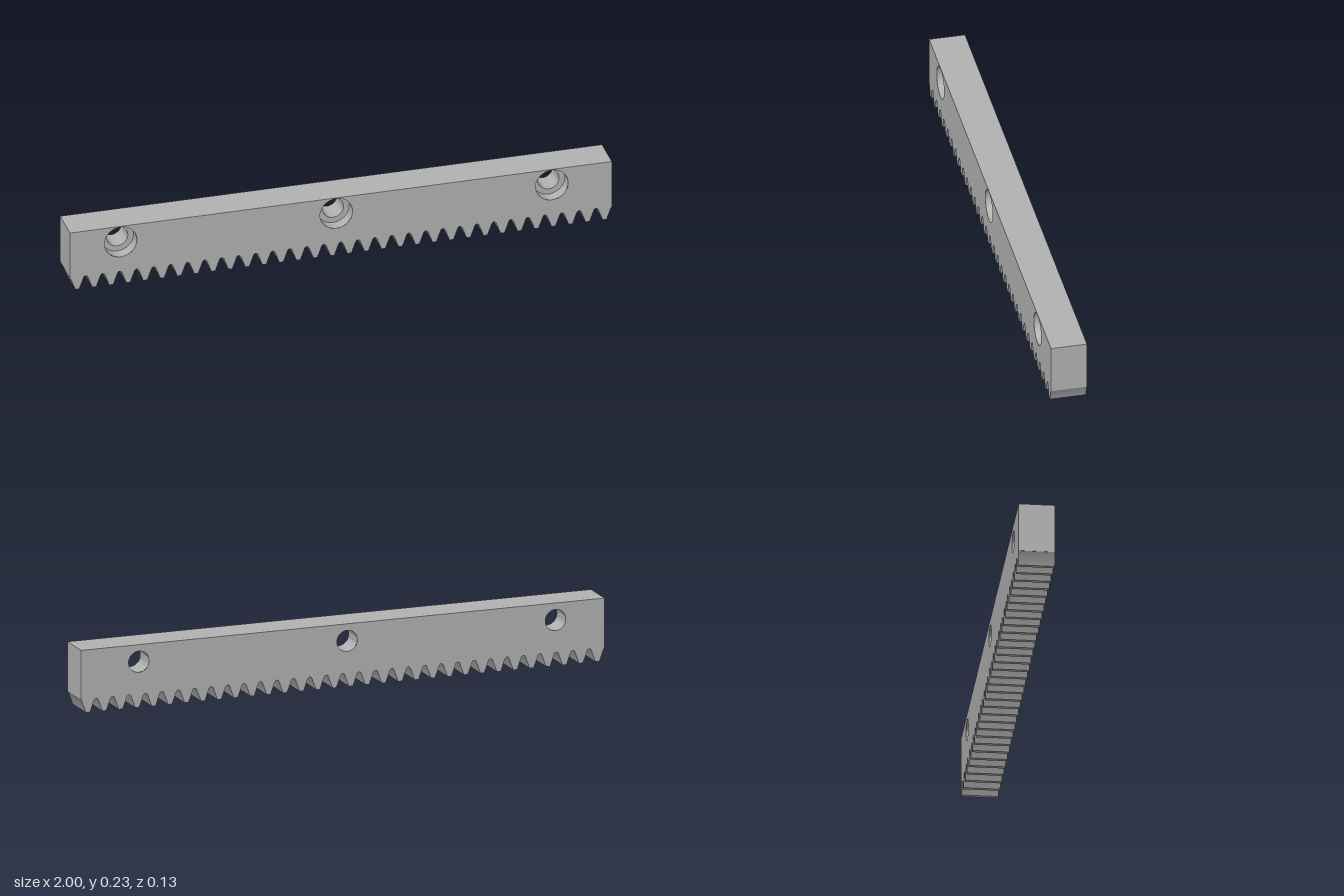
import * as THREE from 'three';
import { toCreasedNormals } from 'three/addons/utils/BufferGeometryUtils.js';

const TOP = 0.231, HALF_DEPTH = 0.0655;
const PITCH = 0.0628, TEETH = 32;
const HOLES_X = [-0.813, -0.017, 0.779], HOLE_Y = 0.168;
const BORE_R = 0.06, HOLE_R = 0.039, BORE_DEPTH = 0.045;
const SEGMENTS = 32;

// Counter-clockwise bar outline: rounded gullets along the bottom, flat top
function rackOutline() {
  const END_Y = 0.0475, ROOT_R = 0.0085, ROOT_Y = 0.041, FOOT = 0.024;
  const pts = [new THREE.Vector2(-1, END_Y)];
  const add = (x, y) => { if (Math.abs(x) < 0.9999) pts.push(new THREE.Vector2(x, y)); };
  for (let k = 0; k <= TEETH; k++) {
    const c = (k - TEETH / 2) * PITCH;
    add(c - FOOT, 0);
    for (let i = 0; i <= 5; i++) {
      const a = THREE.MathUtils.degToRad(160 - 28 * i);
      add(c + ROOT_R * Math.cos(a), ROOT_Y + ROOT_R * Math.sin(a));
    }
    add(c + FOOT, 0);
  }
  pts.push(new THREE.Vector2(1, END_Y), new THREE.Vector2(1, TOP), new THREE.Vector2(-1, TOP));
  return pts;
}

// Flat face of the bar with round openings
function faceGeometry(outline, radius, z, back) {
  const shape = new THREE.Shape(outline);
  for (const x of HOLES_X) {
    shape.holes.push(new THREE.Path().absarc(x, HOLE_Y, radius, 0, Math.PI * 2, true));
  }
  const geo = new THREE.ShapeGeometry(shape, SEGMENTS);
  if (back) geo.index.array.reverse();
  geo.translate(0, 0, z);
  geo.computeVertexNormals();
  return geo;
}

// Walls that join the front and back faces, including all tooth flanks
function wallGeometry(outline) {
  const pos = [];
  outline.forEach((a, i) => {
    const b = outline[(i + 1) % outline.length], f = HALF_DEPTH;
    pos.push(a.x, a.y, f, a.x, a.y, -f, b.x, b.y, -f);
    pos.push(a.x, a.y, f, b.x, b.y, -f, b.x, b.y, f);
  });
  const geo = new THREE.BufferGeometry();
  geo.setAttribute('position', new THREE.Float32BufferAttribute(pos, 3));
  return toCreasedNormals(geo, 0.55);
}

// Inside of a counterbored screw hole: wide bore, shoulder, narrow hole
function holeGeometry() {
  const shoulder = HALF_DEPTH - BORE_DEPTH;
  const profile = [
    [BORE_R, HALF_DEPTH], [BORE_R, shoulder], [HOLE_R, shoulder], [HOLE_R, -HALF_DEPTH],
  ].map(([r, y]) => new THREE.Vector2(r, y));
  const geo = new THREE.LatheGeometry(profile, SEGMENTS);
  geo.rotateX(Math.PI / 2);
  return toCreasedNormals(geo, 0.6);
}

export function createModel() {
  const steel = new THREE.MeshStandardMaterial({ color: 0xb2b2b2 });
  steel.name = 'steel grey';

  const rack = new THREE.Group();
  rack.name = 'gearRack';
  const add = (name, geo) => {
    const mesh = new THREE.Mesh(geo, steel);
    mesh.name = name;
    rack.add(mesh);
    return mesh;
  };

  const outline = rackOutline();
  add('frontFace', faceGeometry(outline, BORE_R, HALF_DEPTH, false));
  add('backFace', faceGeometry(outline, HOLE_R, -HALF_DEPTH, true));
  add('teethAndEdges', wallGeometry(outline));

  const hole = holeGeometry();
  HOLES_X.forEach((x, i) => add(`screwHole${i + 1}`, hole).position.set(x, HOLE_Y, 0));
  return rack;
}
